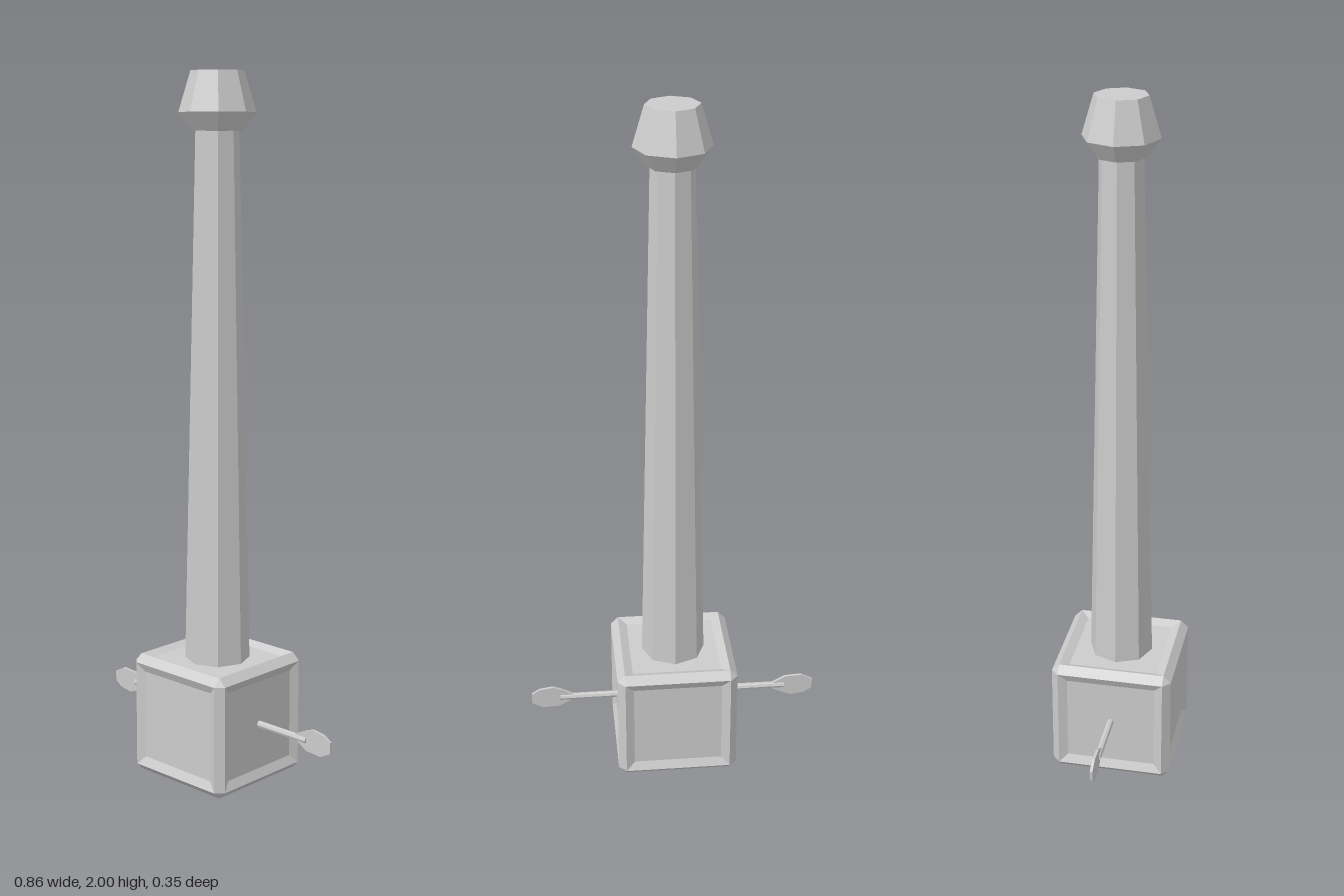
import * as THREE from 'three';

const HALF = 0.177;   // half size of the base block
const RIM = 0.155;    // where the chamfer meets the face
const PANEL = 0.13;   // half size of the sunken panel
const DEPTH = 0.012;  // panel recess

// Chamfered cube with a sunken panel on every face
function panelledCube() {
  const pos = [];
  const tri = (a, b, c) => {
    const n = b.clone().sub(a).cross(c.clone().sub(a));
    const outward = n.dot(a.clone().add(b).add(c)) > 0;
    for (const p of outward ? [a, b, c] : [a, c, b]) pos.push(p.x, p.y, p.z);
  };
  const quad = (a, b, c, d) => { tri(a, b, c); tri(a, c, d); };
  // point on the face of an axis: w along that axis, u and v along the next two
  const pt = (axis, w, u, v) => {
    const p = new THREE.Vector3();
    p.setComponent(axis, w);
    p.setComponent((axis + 1) % 3, u);
    p.setComponent((axis + 2) % 3, v);
    return p;
  };
  const ring = [[-1, -1], [1, -1], [1, 1], [-1, 1]];
  for (let axis = 0; axis < 3; axis++) {
    for (const s of [-1, 1]) {
      const rim = ring.map(([u, v]) => pt(axis, s * HALF, u * RIM, v * RIM));
      const panel = ring.map(([u, v]) => pt(axis, s * (HALF - DEPTH), u * PANEL, v * PANEL));
      quad(...panel);
      for (let i = 0; i < 4; i++) {
        const j = (i + 1) % 4;
        quad(rim[i], rim[j], panel[j], panel[i]);
      }
    }
    // chamfers running along this axis
    for (const [u, v] of ring) {
      quad(
        pt(axis, -RIM, u * HALF, v * RIM), pt(axis, RIM, u * HALF, v * RIM),
        pt(axis, RIM, u * RIM, v * HALF), pt(axis, -RIM, u * RIM, v * HALF));
    }
  }
  // corner triangles
  for (const x of [-1, 1]) for (const [y, z] of ring) {
    tri(
      new THREE.Vector3(x * HALF, y * RIM, z * RIM),
      new THREE.Vector3(x * RIM, y * HALF, z * RIM),
      new THREE.Vector3(x * RIM, y * RIM, z * HALF));
  }
  const g = new THREE.BufferGeometry();
  g.setAttribute('position', new THREE.Float32BufferAttribute(pos, 3));
  g.computeVertexNormals();
  return g;
}

export function createModel() {
  const group = new THREE.Group();
  const grey = new THREE.MeshStandardMaterial({ color: 0xcccccc, flatShading: true });
  grey.name = 'light grey';

  const add = (name, geometry, parent = group) => {
    const mesh = new THREE.Mesh(geometry, grey);
    mesh.name = name;
    parent.add(mesh);
    return mesh;
  };
  // eight-sided frustum between two heights
  const frustum = (name, r0, y0, r1, y1) => {
    const mesh = add(name, new THREE.CylinderGeometry(r1, r0, y1 - y0, 8));
    mesh.position.y = (y0 + y1) / 2;
  };

  add('baseBlock', panelledCube()).position.y = HALF;

  // tapering handle with a flared pommel
  frustum('shaft', 0.093, 0.34, 0.06, 1.845);
  frustum('pommelFlare', 0.07, 1.84, 0.106, 1.89);
  frustum('pommelCap', 0.106, 1.89, 0.073, 2);

  // thin paddle on a rod, repeated on the other side by a half turn
  const outline = [
    [0.43, -0.015], [0.428, 0.016], [0.405, 0.031], [0.365, 0.037], [0.34, 0.028],
    [0.30, 0.008], [0.298, -0.004], [0.345, -0.03], [0.395, -0.033],
  ].map(([x, y]) => new THREE.Vector2(x, y));
  for (const [side, turn] of [['left', 0], ['right', Math.PI]]) {
    const arm = new THREE.Group();
    arm.name = side + 'Arm';
    arm.position.y = 0.18;
    arm.rotation.z = turn;
    group.add(arm);
    const rod = add(side + 'Rod', new THREE.CylinderGeometry(0.01, 0.01, 0.193, 8), arm);
    rod.rotation.z = Math.PI / 2;
    rod.position.x = 0.2465;
    const paddle = new THREE.ExtrudeGeometry(new THREE.Shape(outline), { depth: 0.008, bevelEnabled: false });
    add(side + 'Paddle', paddle, arm).position.z = -0.004;
  }
  return group;
}
